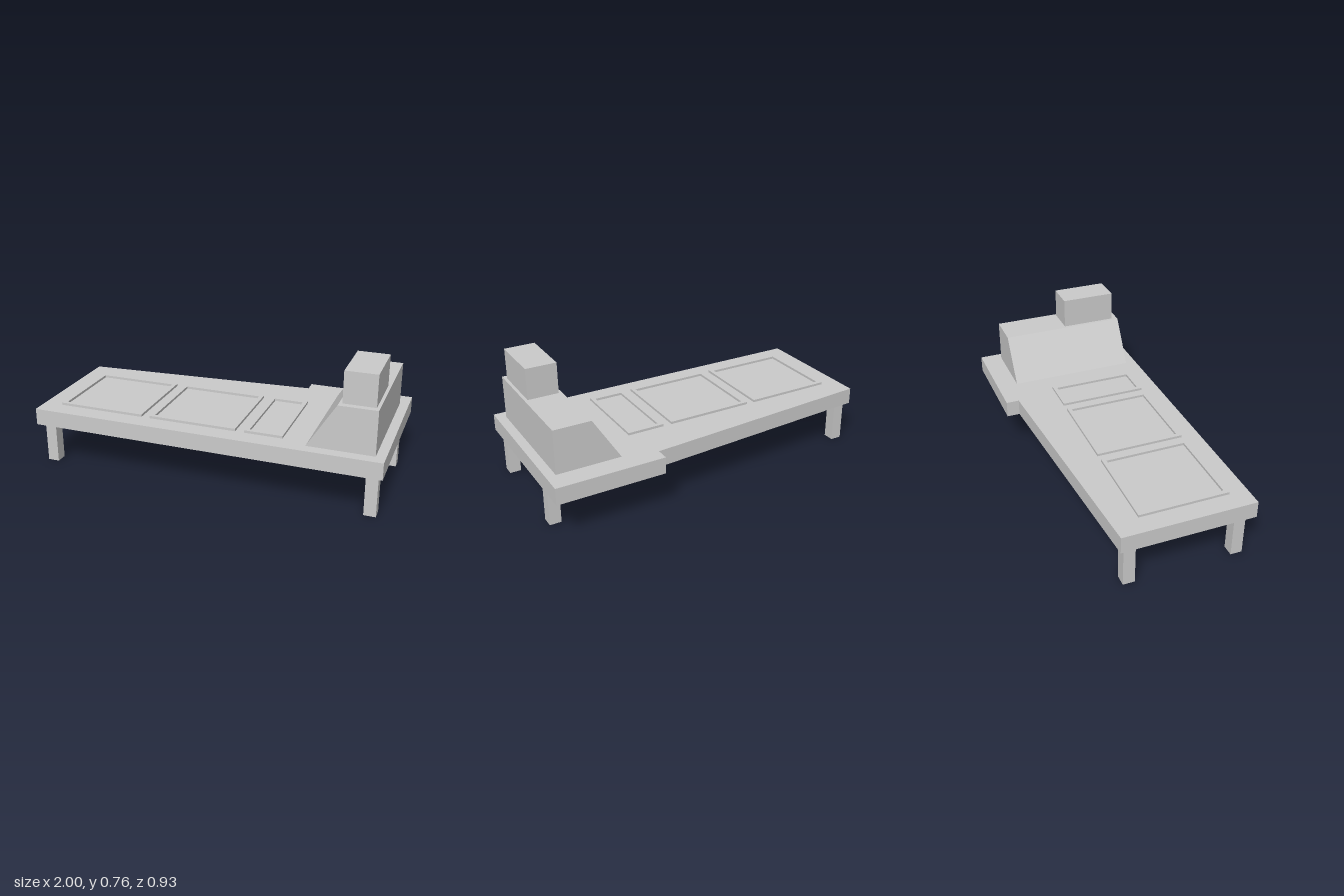
import * as THREE from 'three';

const material = new THREE.MeshStandardMaterial({ color: 0xcccccc, flatShading: true });
const openMaterial = new THREE.MeshStandardMaterial({ color: 0xcccccc, flatShading: true, side: THREE.DoubleSide });

const polygon = (points) => points.map(([x, y]) => new THREE.Vector2(x, y));
const rectangle = (x0, x1, y0, y1) => polygon([[x0, y0], [x1, y0], [x1, y1], [x0, y1]]);

// Extrudes a plan outline drawn in (x, -z) upwards from y0 to y1
function extrudeUp(shape, y0, y1) {
  return new THREE.ExtrudeGeometry(shape, { depth: y1 - y0, bevelEnabled: false })
    .rotateX(-Math.PI / 2)
    .translate(0, y0, 0);
}

export function createModel() {
  const model = new THREE.Group();
  model.name = 'platform';
  const add = (name, geometry, mat = material) => {
    const mesh = new THREE.Mesh(geometry, mat);
    mesh.name = name;
    model.add(mesh);
    return mesh;
  };

  const slabBottom = 0.242, slabTop = 0.338;

  // Deck slab with slanted back edge and a stepped-out corner
  const outline = polygon([
    [-1, -0.463], [1, -0.463], [1, 0.465], [0.385, 0.465], [0.385, 0.39], [-1, 0.292],
  ]);
  add('deck', extrudeUp(new THREE.Shape(outline), slabBottom, slabTop));

  // Square legs, open underneath
  const legWidth = 0.066;
  for (const x of [-0.94, 0.94]) {
    for (const z of [-0.233, 0.382]) {
      const r = legWidth / Math.SQRT2;
      const leg = new THREE.CylinderGeometry(r, r, slabBottom, 4, 1, true).rotateY(Math.PI / 4);
      add('leg', leg, openMaterial).position.set(x, slabBottom / 2, z);
    }
  }

  // Raised rectangular frames on the deck
  const rim = 0.024;
  for (const [x0, x1] of [[-0.889, -0.381], [-0.331, 0.177], [0.229, 0.444]]) {
    const frame = new THREE.Shape(rectangle(x0, x1, -0.357, 0.153));
    frame.holes.push(new THREE.Path(rectangle(x0 + rim, x1 - rim, -0.357 + rim, 0.153 - rim)));
    add('hatchFrame', extrudeUp(frame, slabTop, 0.352));
  }

  // Housing with one sloping side
  const profile = polygon([[0.58, slabTop], [0.947, slabTop], [0.947, 0.588], [0.737, 0.588]]);
  add('housing', new THREE.ExtrudeGeometry(new THREE.Shape(profile), { depth: 0.743, bevelEnabled: false })
    .translate(0, 0, -0.343));

  // Box on top of the housing
  add('topBox', new THREE.BoxGeometry(0.175, 0.177, 0.322)).position.set(0.842, 0.6765, 0.204);

  return model;
}
